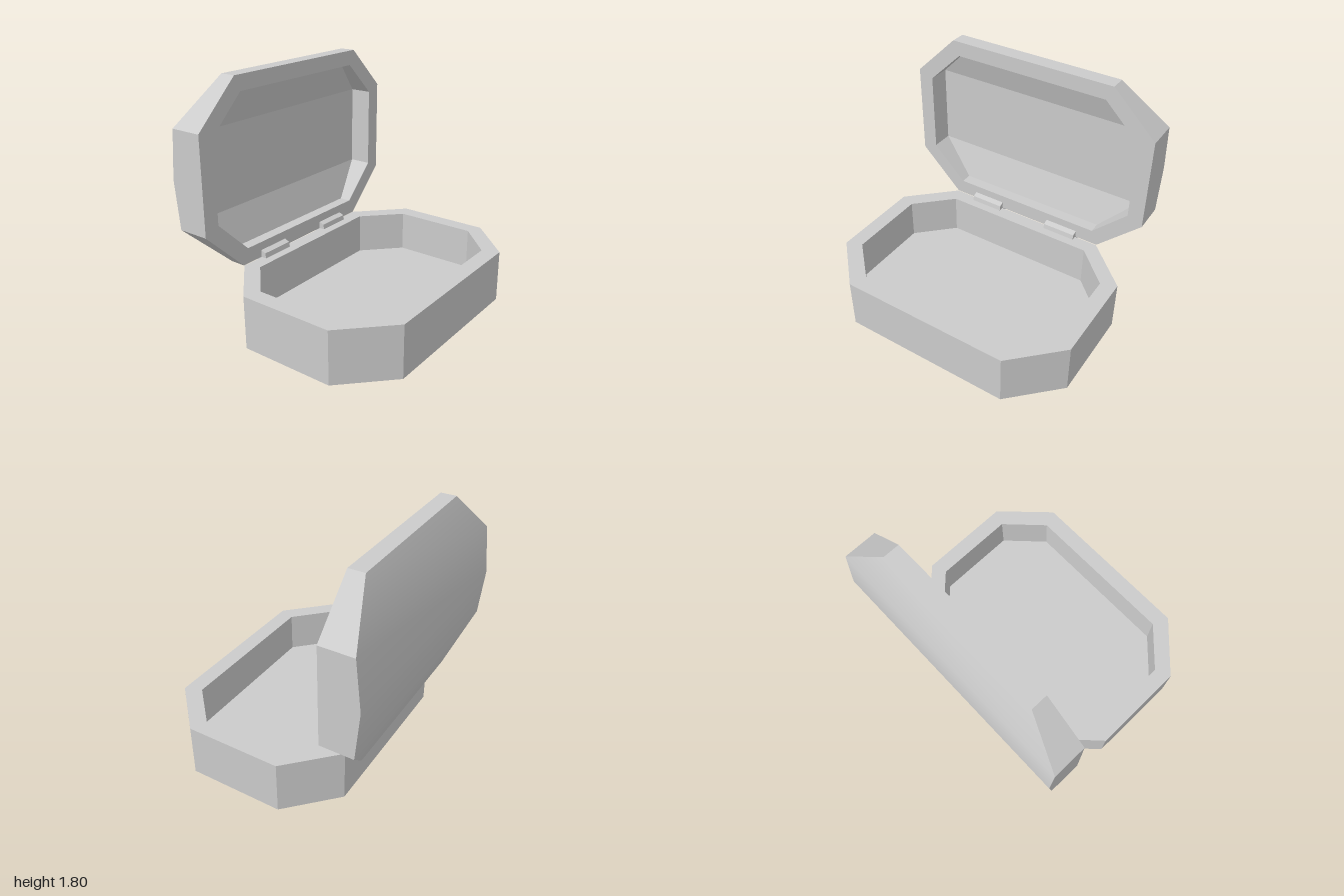
import * as THREE from 'three';

const grey = new THREE.MeshStandardMaterial({ color: 0xcccccc });

// A row is [v, halfWidth, d]: a position along the part, its half width there and its depth.
// The loop runs anticlockwise round the rows, seen from +d.
const loop = (rows) => [
  ...rows.map(([v, w, d]) => [w, v, d]),
  ...[...rows].reverse().map(([v, w, d]) => [-w, v, d]),
];

const mesh = (name, points, index, smooth) => {
  let geometry = new THREE.BufferGeometry();
  geometry.setAttribute('position', new THREE.Float32BufferAttribute(points.flat(), 3));
  geometry.setIndex(index);
  if (!smooth) geometry = geometry.toNonIndexed();
  geometry.computeVertexNormals();
  const m = new THREE.Mesh(geometry, grey);
  m.name = name;
  return m;
};

// Band of quads through successive loops
function walls(name, profiles) {
  const loops = profiles.map(loop);
  const n = loops[0].length;
  const index = [];
  for (let k = 0; k < loops.length - 1; k++) {
    for (let i = 0; i < n; i++) {
      const j = (i + 1) % n;
      const a = k * n + i, b = k * n + j, c = b + n, d = a + n;
      index.push(a, b, c, a, c, d);
    }
  }
  return mesh(name, loops.flat(), index, false);
}

// Surface spanning the rows from left to right, facing +d or -d
function panel(name, rows, facing, smooth) {
  const points = rows.flatMap(([v, w, d]) => [[-w, v, d], [w, v, d]]);
  const index = [];
  for (let r = 0; r < rows.length - 1; r++) {
    const a = r * 2, b = a + 1, c = a + 3, d = a + 2;
    if (facing > 0) index.push(a, b, c, a, c, d);
    else index.push(a, c, b, a, d, c);
  }
  return mesh(name, points, index, smooth);
}

// Hollow half of the case: outer shell, flat rim and recess
function tray(name, outer, rim, inner, recess, smoothShell) {
  const group = new THREE.Group();
  group.name = name;
  group.add(
    walls(name + 'Walls', [outer, rim, inner, recess]),
    panel(name + 'Shell', outer, -1, smoothShell),
    panel(name + 'Recess', recess, 1, false),
  );
  return group;
}

const withDepth = (rows, depth) => rows.map(([v, w], i) => [v, w, depth(v, i)]);

export function createModel() {
  const model = new THREE.Group();
  model.name = 'openCase';

  // Base, built upright and laid down so its rim faces up
  const baseOuter = [[-0.84, 0.66], [-0.5, 1], [0.225, 1], [0.555, 0.66]];
  const baseInner = [[-0.715, 0.61], [-0.45, 0.88], [0.18, 0.88], [0.445, 0.61]];
  const base = tray('base',
    withDepth(baseOuter, () => 0),
    withDepth(baseOuter, () => 0.4),
    withDepth(baseInner, () => 0.4),
    withDepth(baseInner, () => 0.08), false);
  base.rotation.x = -Math.PI / 2;
  model.add(base);

  // Lid, standing open with a slight tilt and a bowed back
  const lidOuter = [[0.4, 0.66], [0.735, 1], [1.1, 1], [1.468, 1], [1.8, 0.66]];
  const lidInner = [[0.52, 0.61], [0.79, 0.88], [1.105, 0.88], [1.42, 0.88], [1.685, 0.61]];
  const rimZ = (y) => -0.56 + 0.0107 * (y - 0.4);
  const backZ = [-0.68, -0.806, -0.84, -0.8, -0.665];
  const recessDepth = [0.09, 0.175, 0.175, 0.175, 0.09];
  model.add(tray('lid',
    withDepth(lidOuter, (y, i) => backZ[i]),
    withDepth(lidOuter, rimZ),
    withDepth(lidInner, rimZ),
    withDepth(lidInner, (y, i) => rimZ(y) - recessDepth[i]), true));

  // Hinges: six-sided barrels along x, profile given as (-z, y)
  const profile = [[0.513, 0.4], [0.56, 0.345], [0.605, 0.36], [0.61, 0.4], [0.56, 0.455], [0.52, 0.438]];
  const shape = new THREE.Shape(profile.map(([z, y]) => new THREE.Vector2(z, y)));
  const hinge = new THREE.ExtrudeGeometry(shape, { depth: 0.265, bevelEnabled: false });
  hinge.rotateY(Math.PI / 2);
  for (const [name, x] of [['leftHinge', 0.21], ['rightHinge', -0.475]]) {
    const m = new THREE.Mesh(hinge, grey);
    m.name = name;
    m.position.x = x;
    model.add(m);
  }

  return model;
}
